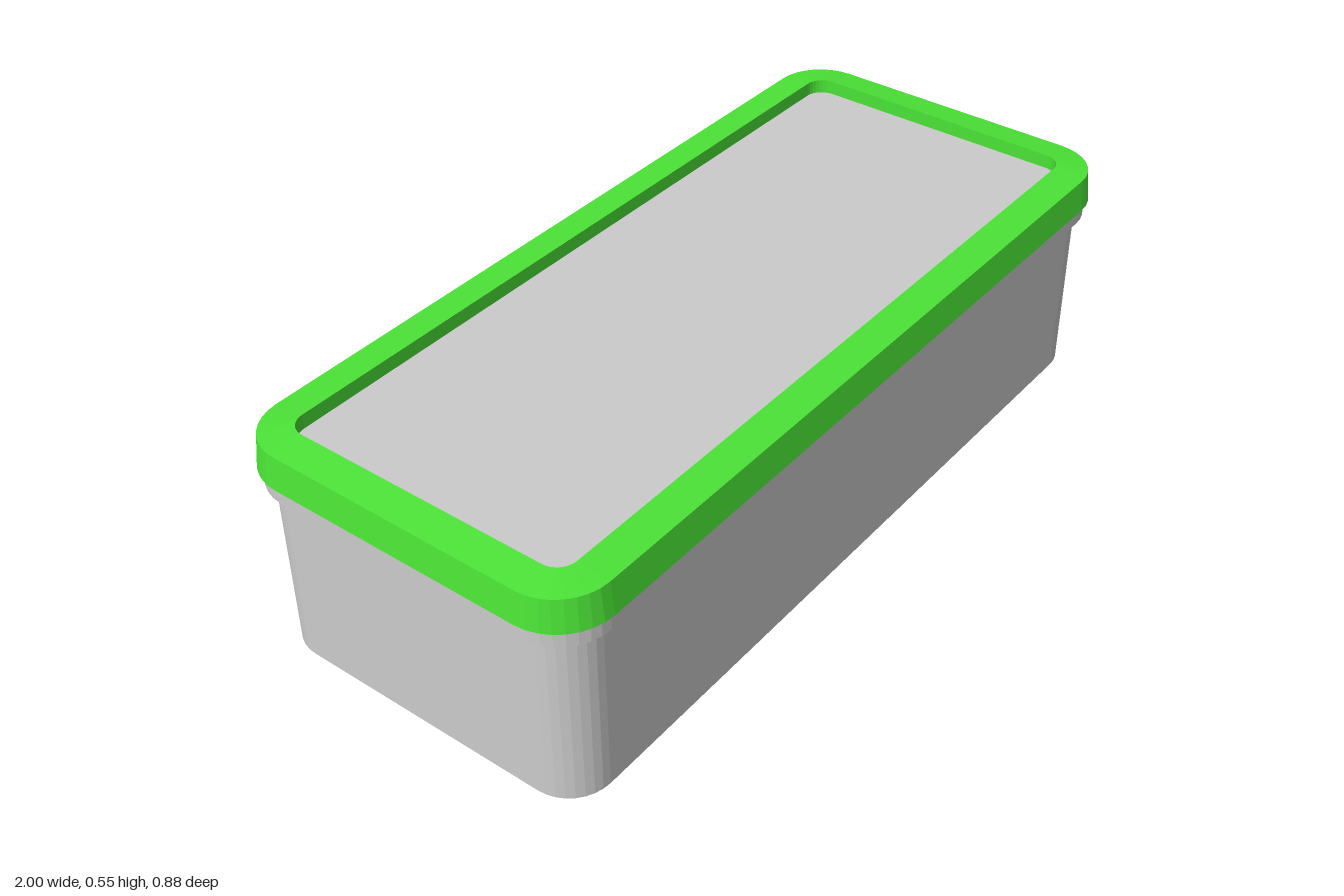
import * as THREE from 'three';

// Centres of the rounded corners, shared by every outline
const CX = 0.87, CZ = 0.31, SEGS = 8;

// Rounded-rectangle ring with corner radius r at height y, running anticlockwise from above
function ring(r, y) {
  const points = [];
  [[1, -1], [-1, -1], [-1, 1], [1, 1]].forEach(([sx, sz], corner) => {
    for (let k = 0; k <= SEGS; k++) {
      const a = (corner + k / SEGS) * Math.PI / 2;
      points.push([sx * CX + r * Math.cos(a), y, sz * CZ - r * Math.sin(a)]);
    }
  });
  return points;
}

// Skin a [radius, height] profile around the outline, with optional end caps
function loft(name, profile, material, capBottom, capTop) {
  const rings = profile.map(([r, y]) => ring(r, y));
  const n = rings[0].length, pos = [];
  const tri = (...corners) => corners.forEach(p => pos.push(...p));
  for (let i = 0; i < rings.length - 1; i++) {
    for (let j = 0; j < n; j++) {
      const k = (j + 1) % n;
      const a = rings[i][j], b = rings[i][k], c = rings[i + 1][k], d = rings[i + 1][j];
      tri(a, b, c);
      tri(a, c, d);
    }
  }
  const first = rings[0], last = rings[rings.length - 1];
  for (let j = 0; j < n; j++) {
    const k = (j + 1) % n;
    if (capBottom) tri([0, first[0][1], 0], first[k], first[j]);
    if (capTop) tri([0, last[0][1], 0], last[j], last[k]);
  }
  const geometry = new THREE.BufferGeometry();
  geometry.setAttribute('position', new THREE.Float32BufferAttribute(pos, 3));
  geometry.computeVertexNormals();
  const mesh = new THREE.Mesh(geometry, material);
  mesh.name = name;
  return mesh;
}

export function createModel() {
  const grey = new THREE.MeshStandardMaterial({ color: 0xcccccc, flatShading: true });
  const green = new THREE.MeshStandardMaterial({ color: 0x4be336, flatShading: true, side: THREE.DoubleSide });

  const model = new THREE.Group();
  model.name = 'lidded container';

  // Straight-sided tub with a stepped flange under the lid
  model.add(loft('tub', [[0.10, 0], [0.10, 0.423], [0.12, 0.423], [0.12, 0.48]], grey, true, true));

  // Lid: tapered rim around a sunken panel
  const lid = new THREE.Group();
  lid.name = 'lid';
  lid.add(loft('lidRim', [[0.12, 0.464], [0.13, 0.464], [0.121, 0.54], [0.045, 0.548], [0.045, 0.512]], green));
  lid.add(loft('lidPanel', [[0.06, 0.48], [0.06, 0.514]], grey, false, true));
  model.add(lid);
  return model;
}
